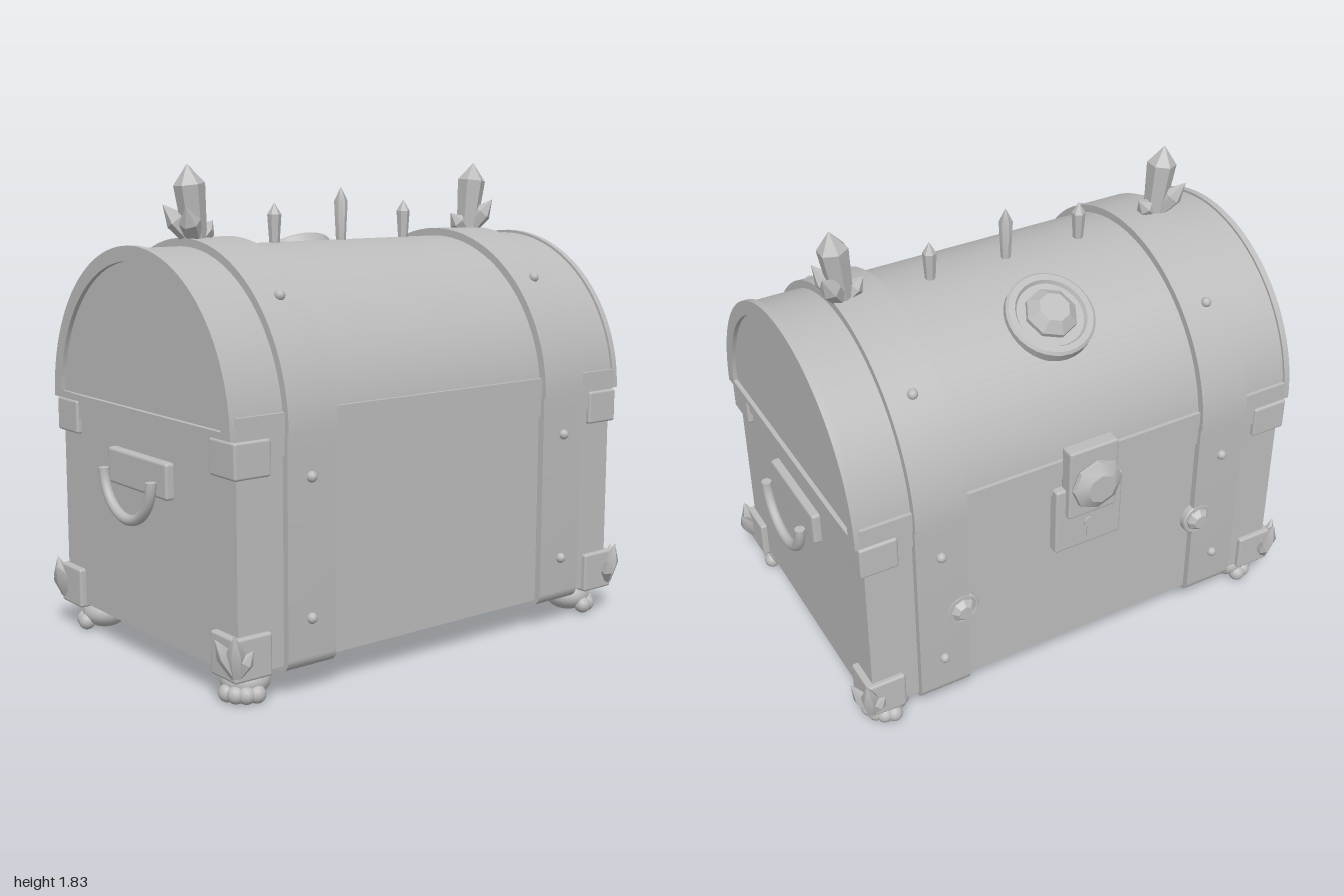
import * as THREE from 'three';
import { toCreasedNormals } from 'three/addons/utils/BufferGeometryUtils.js';
import { RoundedBoxGeometry } from 'three/addons/geometries/RoundedBoxGeometry.js';

const CZ = 0.03;      // depth centre of the chest
const SEAM = 0.935;   // height where lid meets body

export function createModel() {
  const chest = new THREE.Group();
  const grey = new THREE.MeshStandardMaterial({ color: 0xbbbbbb });
  grey.name = 'plain grey';

  const add = (name, geo, x = 0, y = 0, z = 0, parent = chest) => {
    const m = new THREE.Mesh(geo, grey);
    m.name = name;
    m.position.set(x, y, z);
    parent.add(m);
    return m;
  };

  // box given by its limits, optionally with rounded edges
  const box = (name, x0, x1, y0, y1, z0, z1, r = 0) => {
    const s = [Math.abs(x1 - x0), y1 - y0, Math.abs(z1 - z0)];
    const geo = r ? new RoundedBoxGeometry(...s, 2, r) : new THREE.BoxGeometry(...s);
    return add(name, geo, (x0 + x1) / 2, (y0 + y1) / 2, (z0 + z1) / 2);
  };

  // side profile pushed along x
  const slab = (shape, width) => {
    const geo = new THREE.ExtrudeGeometry(shape, { depth: width, bevelEnabled: false, curveSegments: 32 });
    geo.translate(0, 0, -width / 2).rotateY(Math.PI / 2);
    return toCreasedNormals(geo, 0.5);
  };
  const halfDisc = (r, lift = 0) => {
    const s = new THREE.Shape();
    const a = Math.asin(lift / r);
    s.absarc(0, 0, r, a, Math.PI - a, false);
    s.closePath();
    return s;
  };
  const lathe = (pts, sides, crease = 0.5) => toCreasedNormals(
    new THREE.LatheGeometry(pts.map(p => new THREE.Vector2(...p)), sides), crease);

  // pointed six-sided crystal from a base point to a tip
  const crystal = (base, tip, r, shoulder = 0.7, parent = chest) => {
    const a = new THREE.Vector3(...base), d = new THREE.Vector3(...tip).sub(a);
    const h = d.length();
    const m = add('crystal', lathe([[0, 0], [r * 0.7, 0], [r, h * shoulder], [0, h]], 6), ...base, parent);
    m.quaternion.setFromUnitVectors(new THREE.Vector3(0, 1, 0), d.normalize());
  };

  // ring with a faceted gem, facing +y
  const medallion = (name, R, gemR, height) => {
    const g = new THREE.Group();
    g.name = name;
    add('medallionRing', lathe([[R, 0], [R, height * 0.45], [R * 0.94, height * 0.55],
      [R * 0.8, height * 0.55], [R * 0.75, height * 0.4], [0, height * 0.4]], 32), 0, 0, 0, g);
    add('medallionGem', lathe([[gemR, height * 0.3], [gemR, height * 0.6],
      [gemR * 0.6, height], [0, height]], 8), 0, 0, 0, g);
    chest.add(g);
    return g;
  };

  // main body and its upper trim
  box('body', -0.91, 0.91, 0.12, SEAM, CZ - 0.595, CZ + 0.595);
  box('bodyTopTrim', -0.92, 0.92, 0.86, SEAM, CZ - 0.605, CZ + 0.605);

  // barrel lid, lower trim and raised end rims
  add('lid', slab(halfDisc(0.6), 1.85), 0, SEAM, CZ);
  box('lidTrim', -0.92, 0.92, SEAM, 1.01, CZ - 0.61, CZ + 0.61);
  const rim = halfDisc(0.61);
  rim.holes.push(halfDisc(0.555, 0.025));
  for (const s of [-1, 1]) add('lidEndRim', slab(rim, 0.025), s * 0.93, SEAM, CZ);

  // straps around lid and body, with rivets
  const strap = new THREE.Shape();
  const w = 0.622, low = 0.095, r = 0.05;
  strap.moveTo(-w, SEAM);
  strap.lineTo(-w, low + r);
  strap.absarc(-w + r, low + r, r, Math.PI, 1.5 * Math.PI, false);
  strap.absarc(w - r, low + r, r, 1.5 * Math.PI, 2 * Math.PI, false);
  strap.lineTo(w, SEAM);
  strap.closePath();
  const rivet = new THREE.SphereGeometry(0.02, 12, 8);
  for (const s of [-1, 1]) {
    add('bodyStrap', slab(strap, 0.21), s * 0.615, 0, CZ);
    add('lidStrap', slab(halfDisc(0.63), 0.21), s * 0.615, SEAM, CZ);
    for (const f of [-1, 1]) {
      add('rivet', rivet, s * 0.62, 0.78, CZ + f * 0.625);
      add('rivet', rivet, s * 0.62, 0.28, CZ + f * 0.625);
      add('rivet', rivet, s * 0.62, 1.385, CZ + f * 0.445);
    }
  }

  // corner brackets, crystal clusters and paw feet
  for (const sx of [-1, 1]) for (const sz of [-1, 1]) {
    const z = d => CZ + sz * d;
    box('topBracket', sx * 0.78, sx * 0.93, 0.8, 0.93, z(0.46), z(0.615), 0.01);
    box('bottomBracket', sx * 0.78, sx * 0.935, 0.105, 0.26, z(0.46), z(0.615), 0.01);

    const cluster = new THREE.Group();
    cluster.name = 'cornerCrystals';
    chest.add(cluster);
    const base = [sx * 0.92, 0.13, z(0.6)];
    crystal(base, [sx * 0.945, 0.285, z(0.625)], 0.034, 0.55, cluster);
    crystal(base, [sx * 0.985, 0.265, z(0.565)], 0.03, 0.55, cluster);
    crystal(base, [sx * 0.88, 0.225, z(0.645)], 0.028, 0.55, cluster);

    const foot = new THREE.Group();
    foot.name = 'foot';
    foot.position.set(sx * 0.81, 0, z(0.49));
    chest.add(foot);
    add('footBall', new THREE.SphereGeometry(0.09, 24, 16), 0, 0.068, 0, foot).scale.y = 0.7;
    for (let i = 0; i < 4; i++) {
      const a = (0.03 + i * 0.147) * Math.PI;
      add('toe', new THREE.SphereGeometry(0.033, 16, 10),
        sx * 0.08 * Math.cos(a), 0.035, sz * 0.08 * Math.sin(a), foot);
    }
  }

  // side handles
  for (const s of [-1, 1]) {
    box('handlePlate', s * 0.9, s * 0.942, 0.66, 0.795, CZ - 0.205, CZ + 0.205, 0.012);
    const bail = new THREE.TorusGeometry(0.166, 0.02, 12, 32, Math.PI);
    bail.rotateZ(Math.PI).rotateY(Math.PI / 2);
    add('handle', bail, s * 0.98, 0.727, CZ);
    for (const f of [-1, 1]) {
      const cap = new THREE.CircleGeometry(0.02, 12).rotateX(-Math.PI / 2);
      add('handleEnd', cap, s * 0.98, 0.727, CZ + f * 0.166);
    }
  }

  // crystals along the ridge
  crystal([0, 1.52, CZ], [0, 1.74, CZ], 0.027, 0.75);
  for (const s of [-1, 1]) {
    crystal([s * 0.32, 1.52, CZ], [s * 0.32, 1.685, CZ], 0.027, 0.73);
    const base = [s * 0.67, 1.54, CZ];
    const cluster = new THREE.Group();
    cluster.name = 'ridgeCrystals';
    chest.add(cluster);
    crystal(base, [s * 0.705, 1.83, CZ], 0.058, 0.75, cluster);
    crystal(base, [s * 0.77, 1.685, CZ - 0.065], 0.04, 0.6, cluster);
    crystal(base, [s * 0.755, 1.68, CZ + 0.065], 0.04, 0.6, cluster);
    crystal(base, [s * 0.59, 1.625, CZ - 0.01], 0.035, 0.6, cluster);
  }

  // lid medallion and the pair on the body straps
  const tilt = 0.565;
  const lidMedallion = medallion('lidMedallion', 0.172, 0.1, 0.095);
  lidMedallion.position.set(0, SEAM + 0.58 * Math.cos(tilt), CZ - 0.58 * Math.sin(tilt));
  lidMedallion.rotation.x = -tilt;
  for (const s of [-1, 1]) {
    const m = medallion('strapMedallion', 0.068, 0.05, 0.052);
    m.position.set(s * 0.535, 0.485, -0.565);
    m.rotation.x = -Math.PI / 2;
  }

  // lock plate, keyhole, hasp and hasp gem
  box('lockPlate', -0.145, 0.145, 0.6, 0.89, -0.607, -0.55, 0.01);
  const hole = new THREE.CylinderGeometry(0.022, 0.022, 0.008, 16).rotateX(Math.PI / 2);
  add('keyhole', hole, 0, 0.705, -0.609);
  box('keyholeSlot', -0.01, 0.01, 0.64, 0.7, -0.613, -0.605);
  box('hasp', -0.105, 0.105, 0.766, 1.07, -0.632, -0.57, 0.01);
  const gem = lathe([[0.09, 0], [0.106, 0.02], [0.104, 0.035], [0.06, 0.062], [0, 0.062]], 8);
  add('haspGem', gem, 0, 0.915, -0.628).rotation.x = -Math.PI / 2;

  return chest;
}
